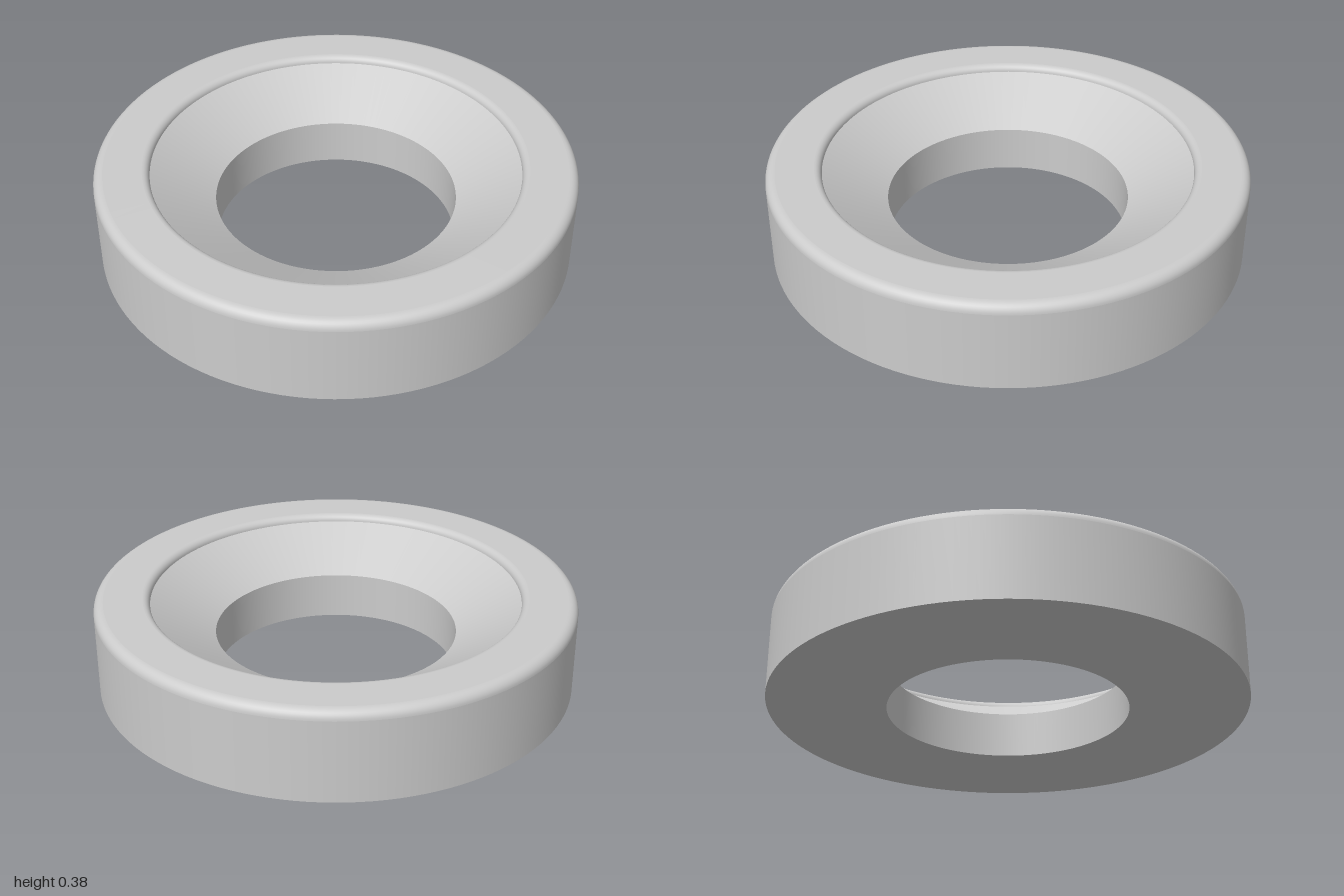
import * as THREE from 'three';

const SEGMENTS = 128;
const HEIGHT = 0.385;
const OUTER = 1, BORE = 0.505, SEAT = 0.77;
const RIM_ROUND = 0.04, LIP_ROUND = 0.03;

// Points of a quarter round, from angle a to a + 90 degrees
function quarterRound(cx, cy, r, a, steps = 8) {
  return Array.from({ length: steps + 1 }, (_, i) => {
    const t = a + (i / steps) * Math.PI / 2;
    return [cx + r * Math.cos(t), cy + r * Math.sin(t)];
  });
}

export function createModel() {
  const group = new THREE.Group();
  group.name = 'conicalSeatWasher';
  const material = new THREE.MeshStandardMaterial({ color: 0xcccccc });

  const seatTop = HEIGHT - LIP_ROUND;
  const seatBottom = seatTop - (SEAT - BORE) * Math.tan(Math.PI / 6);

  // Each surface is its own lathe, so the edges between them stay crisp
  const surfaces = {
    bottomFace: [[BORE, 0], [OUTER, 0]],
    outerWall: [[OUTER, 0], [OUTER, HEIGHT - RIM_ROUND]],
    outerRimRound: quarterRound(OUTER - RIM_ROUND, HEIGHT - RIM_ROUND, RIM_ROUND, 0),
    topFace: [[OUTER - RIM_ROUND, HEIGHT], [SEAT + LIP_ROUND, HEIGHT]],
    innerLipRound: quarterRound(SEAT + LIP_ROUND, seatTop, LIP_ROUND, Math.PI / 2),
    conicalSeat: [[SEAT, seatTop], [BORE, seatBottom]],
    boreWall: [[BORE, seatBottom], [BORE, 0]],
  };

  for (const [name, profile] of Object.entries(surfaces)) {
    const points = profile.map(([r, y]) => new THREE.Vector2(r, y));
    const mesh = new THREE.Mesh(new THREE.LatheGeometry(points, SEGMENTS), material);
    mesh.name = name;
    group.add(mesh);
  }
  return group;
}
